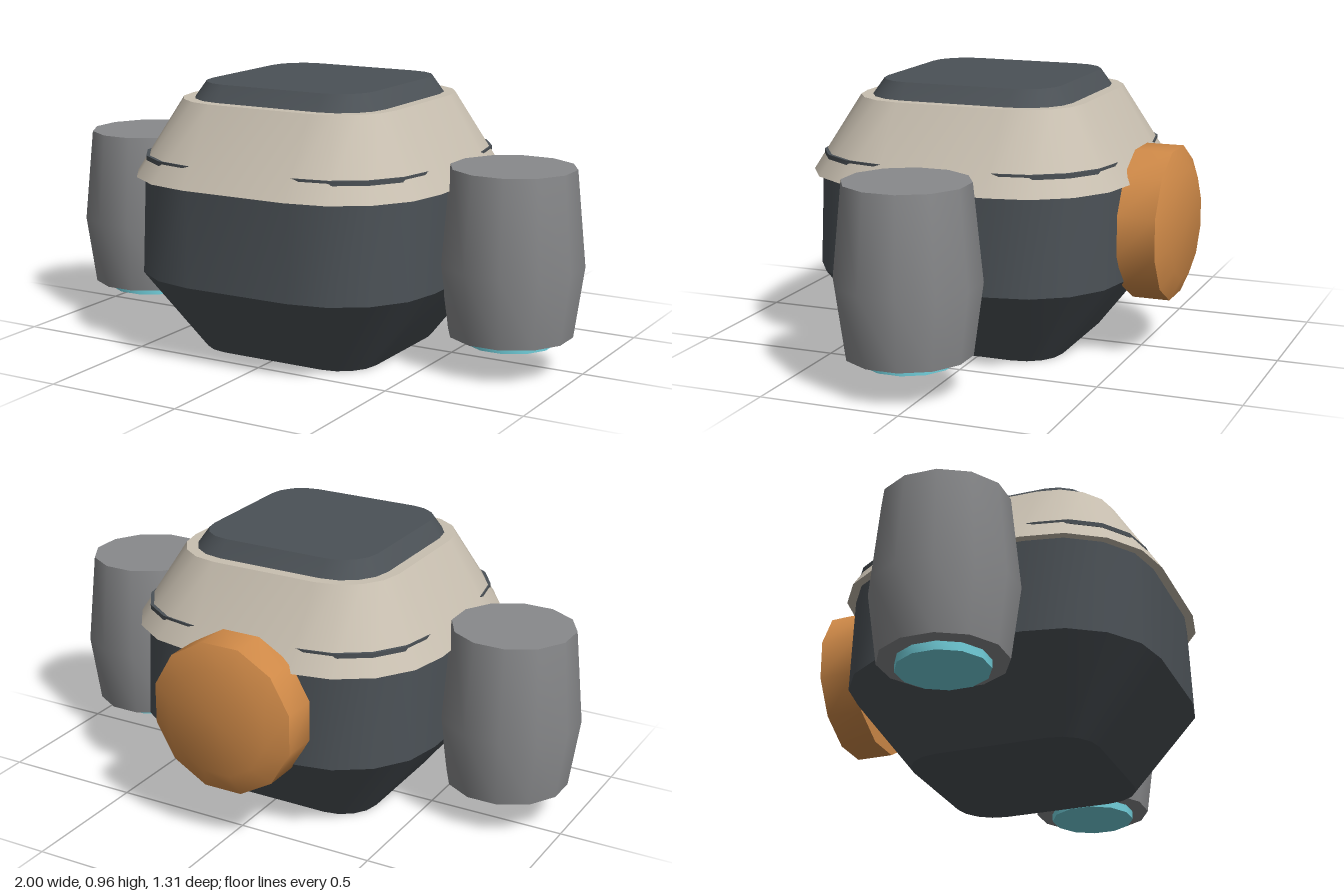
import * as THREE from 'three';
import { toCreasedNormals } from 'three/addons/utils/BufferGeometryUtils.js';

const CREASE = 0.6;

const flat = (name, color) => {
  const m = new THREE.MeshStandardMaterial({ color });
  m.name = name;
  return m;
};

// Rounded-square solid through [halfWidth, y] layers; corner centres stay at +-c
function roundedLoft(layers, c) {
  const pos = [], index = [], seg = 4, n = 4 * (seg + 1);
  for (const [half, y] of layers) {
    for (let q = 0; q < 4; q++) {
      const mid = q * Math.PI / 2 + Math.PI / 4;
      for (let s = 0; s <= seg; s++) {
        const a = (q + s / seg) * Math.PI / 2;
        pos.push(
          Math.sign(Math.cos(mid)) * c + (half - c) * Math.cos(a), y,
          Math.sign(Math.sin(mid)) * c + (half - c) * Math.sin(a));
      }
    }
  }
  const last = (layers.length - 1) * n;
  const bottom = pos.length / 3, top = bottom + 1;
  pos.push(0, layers[0][1], 0, 0, layers[layers.length - 1][1], 0);
  for (let i = 0; i < n; i++) {
    const j = (i + 1) % n;
    for (let k = 0; k < last; k += n) {
      index.push(k + i, k + n + i, k + j, k + j, k + n + i, k + n + j);
    }
    index.push(bottom, i, j, top, last + j, last + i);
  }
  const g = new THREE.BufferGeometry();
  g.setAttribute('position', new THREE.Float32BufferAttribute(pos, 3));
  g.setIndex(index);
  return toCreasedNormals(g, CREASE);
}

// Twelve-sided turned solid with flats facing the axes; radii are to the flats
function turned(profile) {
  const k = 1 / Math.cos(Math.PI / 12);
  const g = new THREE.LatheGeometry(
    profile.map(([r, y]) => new THREE.Vector2(r * k, y)), 12);
  g.rotateY(Math.PI / 12);
  return toCreasedNormals(g, CREASE);
}

export function createModel() {
  const model = new THREE.Group();
  const dark = flat('dark hull', 0x4b5156);
  const cream = flat('cream shell', 0xc8bfb0);
  const grey = flat('grey metal', 0x88898b);
  const orange = flat('orange', 0xd08a48);
  const cyan = flat('cyan glow', 0x72d0dc);

  const add = (parent, name, geometry, material) => {
    const m = new THREE.Mesh(geometry, material);
    m.name = name;
    parent.add(m);
    return m;
  };

  // Hull, stacked from rounded squares
  const hull = new THREE.Group();
  hull.name = 'hull';
  hull.position.z = 0.07;
  model.add(hull);
  add(hull, 'lowerHull', roundedLoft([[0.34, 0], [0.567, 0.29], [0.553, 0.64]], 0.2), dark);
  add(hull, 'upperShell', roundedLoft([[0.585, 0.635], [0.413, 0.905]], 0.2), cream);
  add(hull, 'roofCap', roundedLoft([[0.375, 0.9], [0.33, 0.963]], 0.2), dark);
  // Trim ring that only breaks through the shell at its corners
  add(hull, 'cornerTrim', roundedLoft([[0.537, 0.694], [0.537, 0.71]], 0.23), dark);

  // Side thrusters
  for (const side of [1, -1]) {
    const thruster = new THREE.Group();
    thruster.name = side > 0 ? 'leftThruster' : 'rightThruster';
    thruster.position.set(side * 0.757, 0, 0.072);
    model.add(thruster);
    add(thruster, 'thrusterCasing',
      turned([[0, 0.13], [0.21, 0.13], [0.243, 0.38], [0.21, 0.713], [0, 0.713]]), grey);
    add(thruster, 'thrusterGlow',
      turned([[0, 0.1], [0.152, 0.1], [0.152, 0.135], [0, 0.135]]), cyan);
  }

  // Round rear pod with a bevelled back
  const pod = turned([[0, 0.487], [0.266, 0.487], [0.266, 0.622], [0.19, 0.658], [0, 0.658]]);
  pod.rotateX(-Math.PI / 2);
  add(model, 'rearPod', pod, orange).position.y = 0.465;

  return model;
}
